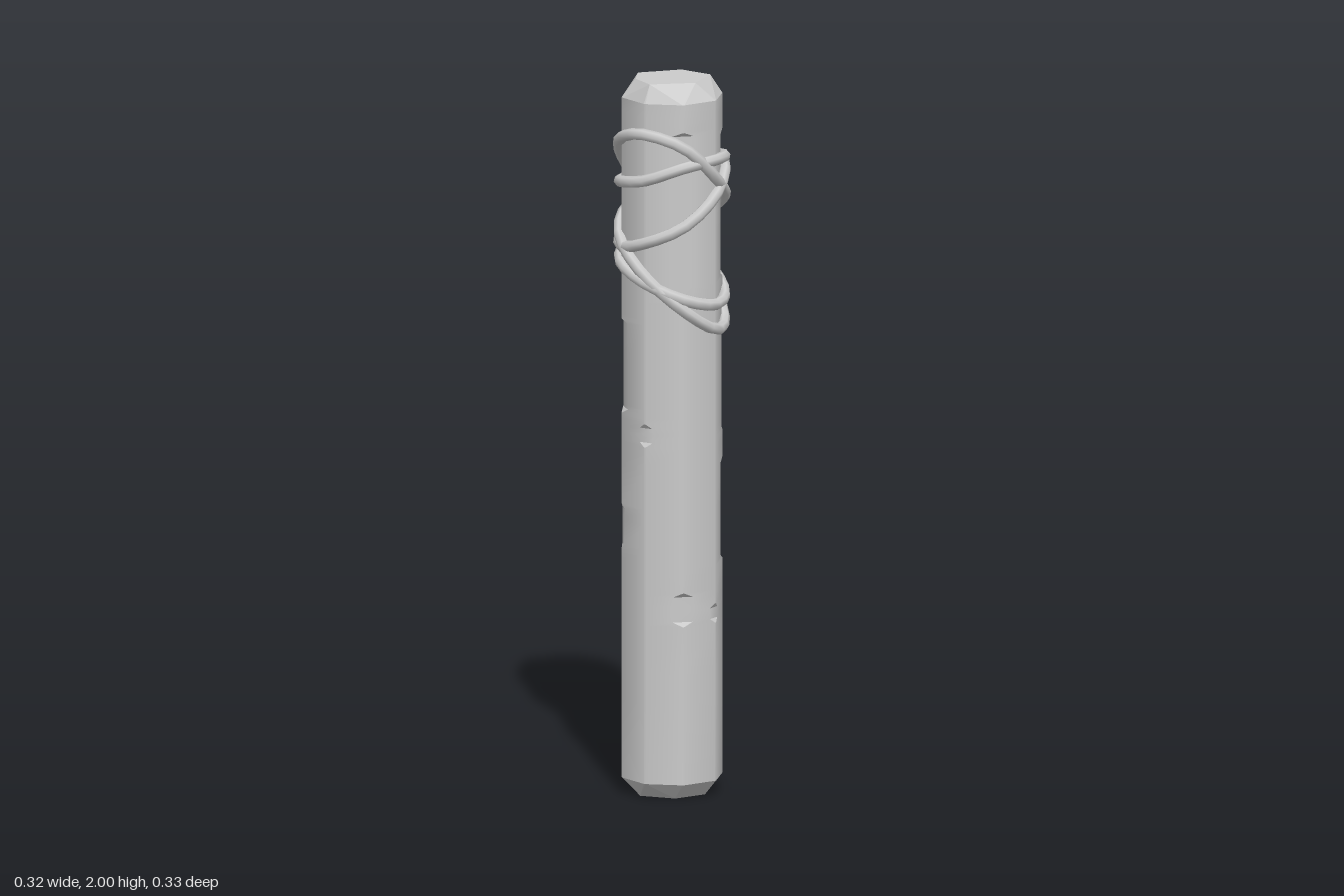
import * as THREE from 'three';
import { toCreasedNormals } from 'three/addons/utils/BufferGeometryUtils.js';
import { ConvexGeometry } from 'three/addons/geometries/ConvexGeometry.js';

const material = new THREE.MeshStandardMaterial({ color: 0xcccccc });
const SIDES = 8, RADIUS = 0.142, LOW = 0.045, HIGH = 1.95, WORN = 0.003;

// Chips along the corners: [corner, from y, to y, chamfer width]; corner 0 faces the front, 2 faces +x
const chips = [
  [0, 1.0, 1.04, 0.022], [1, 1.4, 1.86, 0.034], [3, 1.45, 1.84, 0.034],
  [6, 1.58, 1.9, 0.034], [7, 1.08, 1.32, 0.03], [3, 1.02, 1.38, 0.02],
  [3, 0.66, 0.92, 0.03], [1, 0.5, 0.57, 0.03], [2, 0.5, 0.53, 0.02],
  [5, 1.22, 1.33, 0.03], [4, 0.78, 1.08, 0.02], [7, 0.7, 0.8, 0.015], [5, 0.28, 0.34, 0.02],
];

const corner = i => {
  const a = (i / SIDES) * Math.PI * 2;
  return new THREE.Vector3(Math.sin(a) * RADIUS, 0, Math.cos(a) * RADIUS);
};

// Octagon with every corner cut by a chamfer whose width depends on the height
function section(y) {
  const points = [];
  for (let i = 0; i < SIDES; i++) {
    let width = WORN;
    for (const [c, y0, y1, w] of chips) if (c === i && y >= y0 && y <= y1) width = w;
    for (const step of [-1, 1]) {
      const toward = corner(i + step).sub(corner(i)).normalize();
      points.push(corner(i).addScaledVector(toward, width).setY(y));
    }
  }
  return points;
}

function shaftGeometry() {
  const heights = new Set([LOW, HIGH]);
  for (const [, y0, y1] of chips) [y0 - 0.012, y0, y1, y1 + 0.012].forEach(y => heights.add(y));
  const rings = [...heights].sort((a, b) => a - b).map(section);
  const n = SIDES * 2, index = [];
  for (let r = 0; r < rings.length - 1; r++) {
    for (let i = 0; i < n; i++) {
      const a = r * n + i, b = r * n + (i + 1) % n;
      index.push(a, b, b + n, a, b + n, a + n);
    }
  }
  const geometry = new THREE.BufferGeometry().setFromPoints(rings.flat());
  geometry.setIndex(index);
  return toCreasedNormals(geometry, 0.45);
}

// Roughly hewn end: the shaft's last section joined to a smaller, uneven facet
function endGeometry(y, faceY, outline) {
  const face = outline.map(([x, z]) => new THREE.Vector3(x, faceY, z));
  return new ConvexGeometry([...section(y), ...face]);
}

// Cord wound round the shaft; one height per eighth of a turn, starting at the front
function cordGeometry(heights, radius) {
  const points = heights.map((y, i) => {
    const a = (i / 8) * Math.PI * 2;
    const r = radius + 0.002 * Math.sin(i * 2.3);
    return new THREE.Vector3(Math.sin(a) * r, y, Math.cos(a) * r);
  });
  const path = new THREE.CatmullRomCurve3(points, true);
  return new THREE.TubeGeometry(path, heights.length * 3, 0.0165, 7, true);
}

export function createModel() {
  const group = new THREE.Group();
  const add = (name, geometry) => {
    const mesh = new THREE.Mesh(geometry, material);
    mesh.name = name;
    group.add(mesh);
  };

  add('shaft', shaftGeometry());
  add('topEnd', endGeometry(HIGH, 2,
    [[-0.03, -0.097], [0.07, -0.085], [0.095, 0.03], [0, 0.115], [-0.075, 0.07], [-0.11, 0]]));
  add('bottomEnd', endGeometry(LOW, 0,
    [[-0.06, -0.08], [0.05, -0.09], [0.1, -0.01], [0.06, 0.08], [-0.04, 0.1], [-0.11, 0.01]]));

  // One cord makes three crossing turns, two more are single loops
  add('crossingCord', cordGeometry([
    1.865, 1.83, 1.73, 1.66, 1.6, 1.59, 1.57, 1.535,
    1.56, 1.61, 1.69, 1.76, 1.77, 1.69, 1.62, 1.56,
    1.47, 1.375, 1.31, 1.33, 1.46, 1.6, 1.74, 1.835], 0.146));
  add('upperCord', cordGeometry([1.735, 1.775, 1.785, 1.775, 1.76, 1.745, 1.705, 1.715], 0.145));
  add('lowerCord', cordGeometry([1.45, 1.405, 1.38, 1.4, 1.47, 1.5, 1.51, 1.49], 0.145));
  return group;
}
